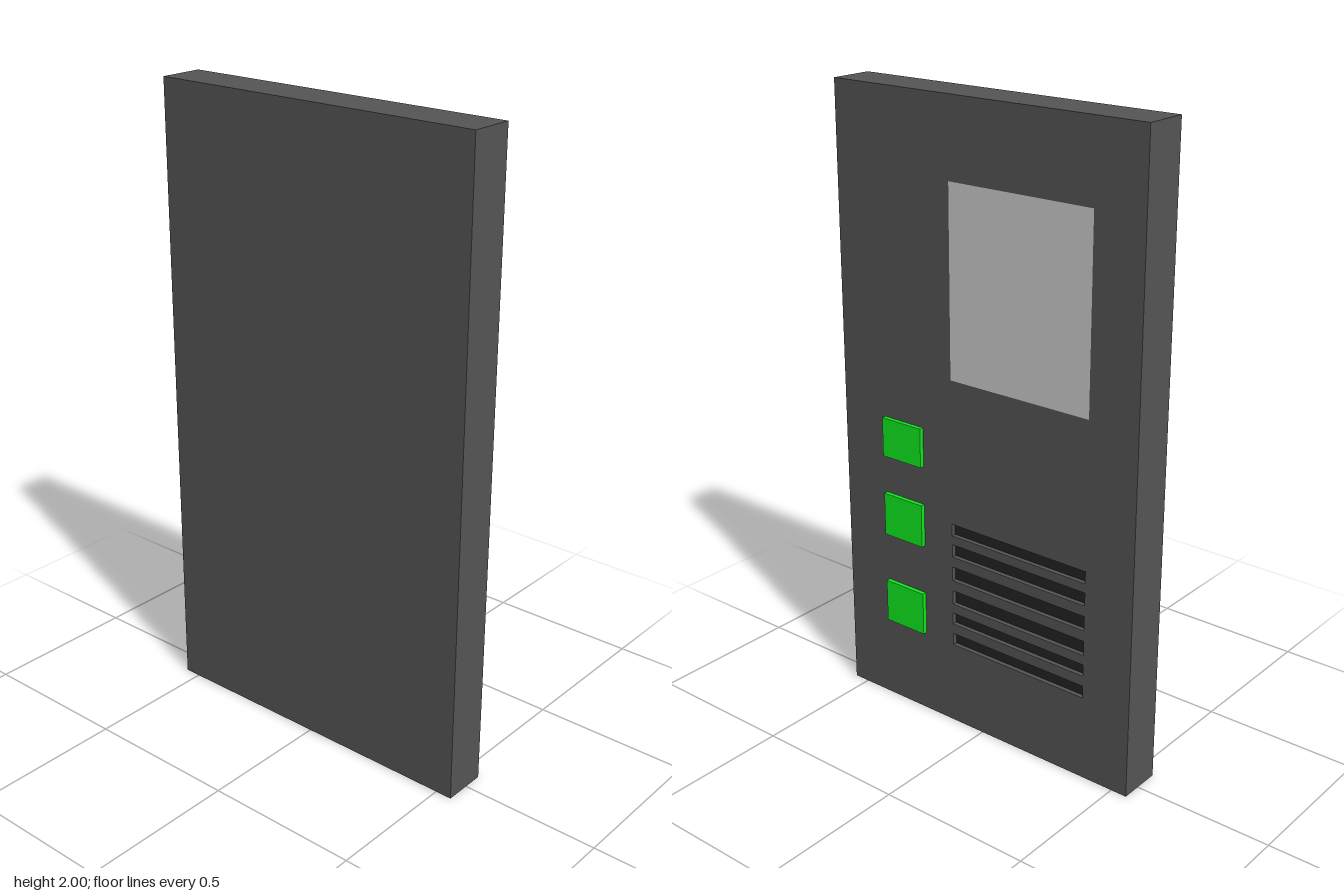
import * as THREE from 'three';

const BACK = -0.079, FACE = 0.063, RECESS = 0.015;
const HALF = 0.553;

const paint = (color) => new THREE.MeshStandardMaterial({ color });

// Box given by its limits along each axis
function block(name, material, [x0, x1], [y0, y1], [z0, z1]) {
  const mesh = new THREE.Mesh(new THREE.BoxGeometry(x1 - x0, y1 - y0, z1 - z0), material);
  mesh.position.set((x0 + x1) / 2, (y0 + y1) / 2, (z0 + z1) / 2);
  mesh.name = name;
  return mesh;
}

// Rectangle outline on the face; u runs along -z
function rect(Type, [y0, y1], [z0, z1]) {
  return new Type([[-z1, y0], [-z0, y0], [-z0, y1], [-z1, y1]].map(([u, v]) => new THREE.Vector2(u, v)));
}

export function createModel() {
  const group = new THREE.Group();
  group.name = 'wallPanel';
  const bodyMat = paint(0x555555), screenMat = paint(0xcccccc);
  const buttonMat = paint(0x10ea20), slotMat = paint(0x222222);

  const panelZ = [-0.386, 0.118];
  const screenY = [1.162, 1.756];
  const slots = [[0.275, 0.315], [0.349, 0.387], [0.419, 0.466], [0.501, 0.548], [0.583, 0.625], [0.655, 0.694]];
  const buttons = [[0.278, 0.421], [0.586, 0.728], [0.855, 0.983]];

  // Solid rear of the slab
  group.add(block('body', bodyMat, [BACK, FACE - RECESS], [0, 2], [-HALF, HALF]));

  // Face plate with openings for the screen and speaker slots
  const plate = rect(THREE.Shape, [0, 2], [-HALF, HALF]);
  for (const y of [screenY, ...slots]) plate.holes.push(rect(THREE.Path, y, panelZ));
  const face = new THREE.Mesh(
    new THREE.ExtrudeGeometry(plate, { depth: RECESS, bevelEnabled: false }), bodyMat);
  face.rotation.y = Math.PI / 2;
  face.position.x = FACE - RECESS;
  face.name = 'facePlate';
  group.add(face);

  // Screen, flush with the face
  group.add(block('screen', screenMat, [FACE - RECESS, FACE], screenY, panelZ));

  // Dark floors of the speaker slots
  for (const y of slots) {
    group.add(block('speakerSlot', slotMat, [FACE - RECESS - 0.005, FACE - RECESS + 0.001], y, panelZ));
  }

  // Raised buttons
  for (const y of buttons) {
    group.add(block('button', buttonMat, [FACE - 0.005, 0.077], y, [0.231, 0.386]));
  }

  return group;
}
